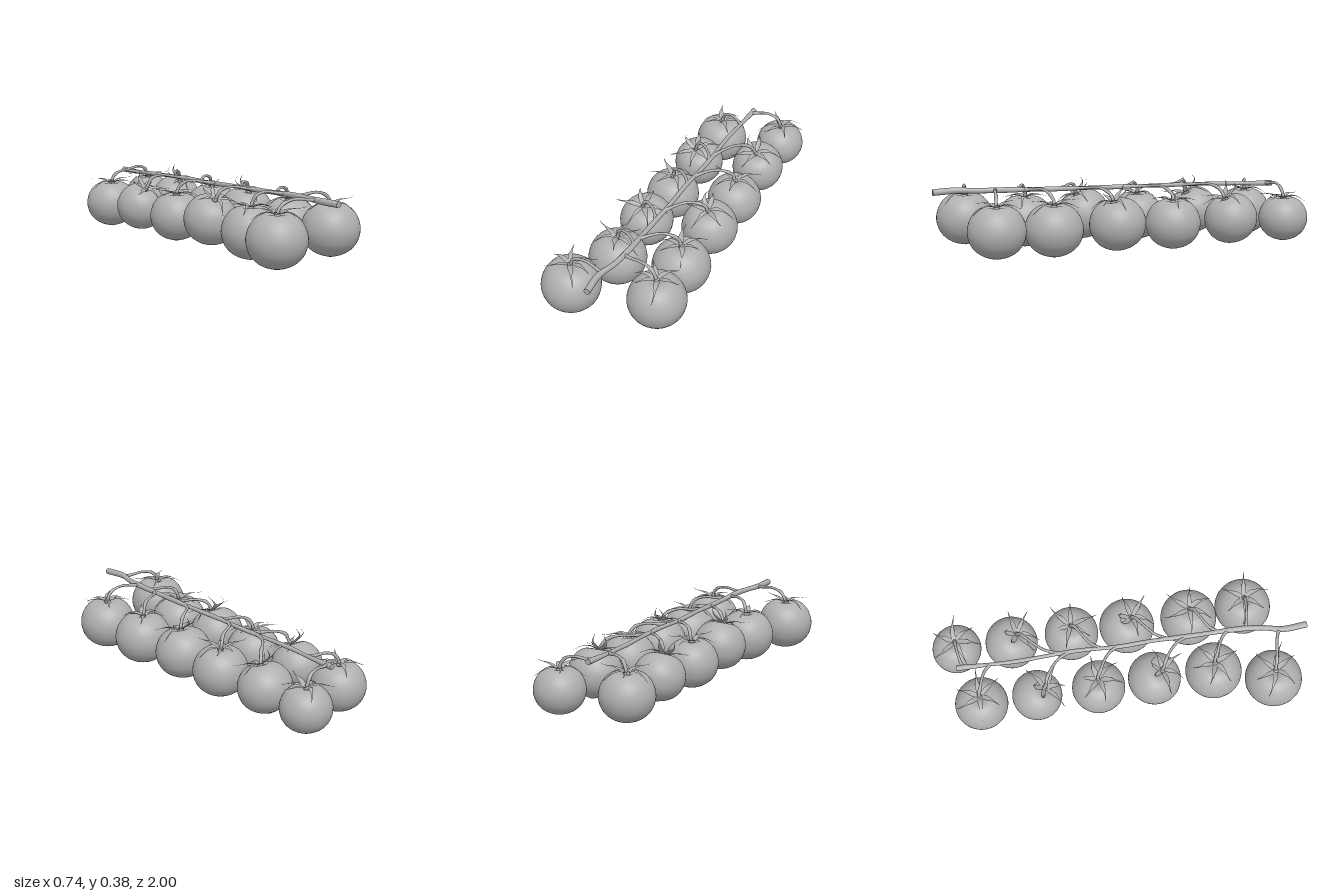
import * as THREE from 'three';

const V = (x, y, z) => new THREE.Vector3(x, y, z);
const grey = new THREE.MeshStandardMaterial({ color: 0xb0b0b0, side: THREE.DoubleSide });
grey.name = 'plain grey';

let seed = 7;
const rand = (a, b) => {
  seed = (seed * 16807) % 2147483647;
  return a + (b - a) * (seed / 2147483647);
};

const mesh = (name, geometry) => {
  const m = new THREE.Mesh(geometry, grey);
  m.name = name;
  return m;
};

// Tube whose radius follows a function of the position along the path
function taperedTube(curve, segments, sides, radiusAt) {
  const geo = new THREE.TubeGeometry(curve, segments, 1, sides);
  const pos = geo.attributes.position, uv = geo.attributes.uv, p = V(0, 0, 0);
  for (let i = 0; i < pos.count; i++) {
    const c = curve.getPointAt(uv.getX(i));
    p.fromBufferAttribute(pos, i).sub(c).multiplyScalar(radiusAt(uv.getX(i))).add(c);
    pos.setXYZ(i, p.x, p.y, p.z);
  }
  return geo;
}

// Fruit of unit radius: round body, small tip below, shallow hollow on top
const profile = new THREE.SplineCurve([
  [0, -0.95], [0.05, -0.935], [0.2, -0.9], [0.45, -0.82], [0.7, -0.66], [0.9, -0.4], [1, -0.02],
  [0.93, 0.36], [0.75, 0.65], [0.54, 0.8], [0.36, 0.84], [0.18, 0.8], [0, 0.72],
].map(([x, y]) => new THREE.Vector2(x, y)));
const fruitGeo = new THREE.LatheGeometry(
  profile.getPoints(36).map((p) => new THREE.Vector2(Math.max(p.x, 0), p.y)), 44);

// Pointed leaf: runs out along +x, sways sideways, and its tip lifts or droops
function sepalGeometry(reach, lift, sway, width) {
  const n = 12, pts = [], idx = [];
  for (let i = 0; i <= n; i++) {
    const t = i / n;
    const x = 0.004 + reach * (lift > 0.04 ? Math.sin(t * 2.1) / 1.0 : t);
    const y = 0.016 * Math.sin(Math.PI * Math.min(1, t * 1.1)) + lift * t ** 2.4;
    const z = sway * t * t;
    const w = width * (0.45 + 0.55 * Math.sin(Math.PI * Math.min(1, t * 1.6))) * (1 - t ** 2.2) + 0.0008;
    pts.push(x, y + w * 0.35, z - w, x, y, z, x, y + w * 0.35, z + w);
    if (i < n) {
      for (let k = 0; k < 2; k++) {
        const a = i * 3 + k;
        idx.push(a, a + 1, a + 3, a + 1, a + 4, a + 3);
      }
    }
  }
  const geo = new THREE.BufferGeometry();
  geo.setAttribute('position', new THREE.Float32BufferAttribute(pts, 3));
  geo.setIndex(idx);
  geo.computeVertexNormals();
  return geo;
}

// x, z, radius, underside height, forward tilt, z where the stalk leaves the vine
const fruits = [
  [-0.135, -0.77, 0.142, 0.01, 0, -0.69],
  [-0.137, -0.47, 0.135, 0.033, 0.42, -0.27],
  [-0.135, -0.137, 0.143, 0.012, 0, -0.02],
  [-0.138, 0.165, 0.143, 0.033, 0.35, 0.36],
  [-0.135, 0.49, 0.152, 0.004, 0, 0.58],
  [-0.23, 0.8, 0.153, 0.015, 0, 0.85],
  [0.193, -0.868, 0.132, 0.025, 0, -0.83],
  [0.183, -0.57, 0.142, 0.025, 0.32, -0.33],
  [0.19, -0.24, 0.146, 0.012, 0, -0.1],
  [0.185, 0.064, 0.15, 0.018, 0.2, 0.25],
  [0.19, 0.407, 0.153, 0.003, 0, 0.53],
  [0.207, 0.71, 0.152, 0.012, 0, 0.68],
];

export function createModel() {
  const model = new THREE.Group();
  model.name = 'tomatoesOnTheVine';

  // Main vine, with flat cut ends
  const vine = new THREE.CatmullRomCurve3([
    V(-0.016, 0.338, 1), V(-0.025, 0.342, 0.87), V(-0.002, 0.34, 0.77), V(0.01, 0.34, 0.66),
    V(0.012, 0.335, 0.4), V(0.015, 0.333, 0.18), V(0.01, 0.33, 0), V(0.02, 0.33, -0.24),
    V(0.01, 0.325, -0.55), V(0.015, 0.32, -0.69), V(0.022, 0.318, -0.87),
  ]);
  const vineRadius = (u) => 0.0105 + 0.0065 * (1 - u) ** 3 + 0.004 * Math.max(0, u - 0.9) * 10
    + 0.001 * Math.sin(u * 40);
  model.add(mesh('vine', taperedTube(vine, 90, 12, vineRadius)));
  for (const u of [0, 1]) {
    const cap = mesh('vineEnd', new THREE.CircleGeometry(vineRadius(u), 12));
    cap.position.copy(vine.getPointAt(u));
    const out = vine.getTangentAt(u).multiplyScalar(u ? 1 : -1);
    cap.quaternion.setFromUnitVectors(V(0, 0, 1), out);
    model.add(cap);
  }
  const samples = vine.getSpacedPoints(200);
  const vineAt = (z) => samples.reduce((a, b) => (Math.abs(b.z - z) < Math.abs(a.z - z) ? b : a));

  fruits.forEach(([x, z, r, bottom, tilt, jointZ], f) => {
    // Fruit with its crown of leaves
    const fruit = new THREE.Group();
    fruit.name = 'tomato';
    fruit.position.set(x, bottom + 0.95 * r, z);
    fruit.rotation.x = tilt;
    const body = mesh('tomatoBody', fruitGeo);
    body.scale.setScalar(r);
    fruit.add(body);

    const crown = new THREE.Group();
    crown.name = 'crown';
    crown.position.y = 0.81 * r;
    const hub = mesh('crownHub', new THREE.SphereGeometry(0.017, 12, 8));
    hub.scale.y = 0.6;
    crown.add(hub);
    const start = rand(0, 1);
    for (let k = 0; k < 6; k++) {
      const back = tilt > 0 && (k === 1 || k === 2);
      const lift = back ? rand(0.07, 0.09) : [0.03, -0.02, 0.02, -0.035, 0.035, 0.005][(k + f) % 6];
      const reach = back ? 0.075 : rand(0.115, 0.145);
      const sepal = mesh('sepal', sepalGeometry(reach, lift, rand(-0.01, 0.045), rand(0.012, 0.015)));
      sepal.rotation.y = start + (k * Math.PI) / 3 + rand(-0.15, 0.15);
      crown.add(sepal);
    }
    fruit.add(crown);
    model.add(fruit);

    // Arching stalk from the vine down into the crown
    fruit.updateMatrixWorld(true);
    const end = fruit.localToWorld(V(0, 0.78 * r, 0));
    const knee = fruit.localToWorld(V(0, 0.81 * r + 0.03, 0));
    const from = vineAt(jointZ);
    const along = (tx, tz, y) => V(from.x + (end.x - from.x) * tx, y, from.z + (end.z - from.z) * tz);
    const bend = along(0.82, 0.86, Math.max(knee.y + 0.012, from.y - 0.004));
    knee.x += (from.x - end.x) * 0.06;
    const stalk = new THREE.CatmullRomCurve3([
      from, along(0.2, 0.36, from.y + 0.005), along(0.52, 0.66, from.y + 0.012), bend, knee, end,
    ]);
    const stalkRadius = (u) => 0.0072 + 0.004 * (1 - u) ** 6 + 0.0025 * Math.exp(-(((u - 0.72) / 0.07) ** 2))
      + 0.003 * u ** 6;
    model.add(mesh('stalk', taperedTube(stalk, 28, 9, stalkRadius)));
  });

  return model;
}
